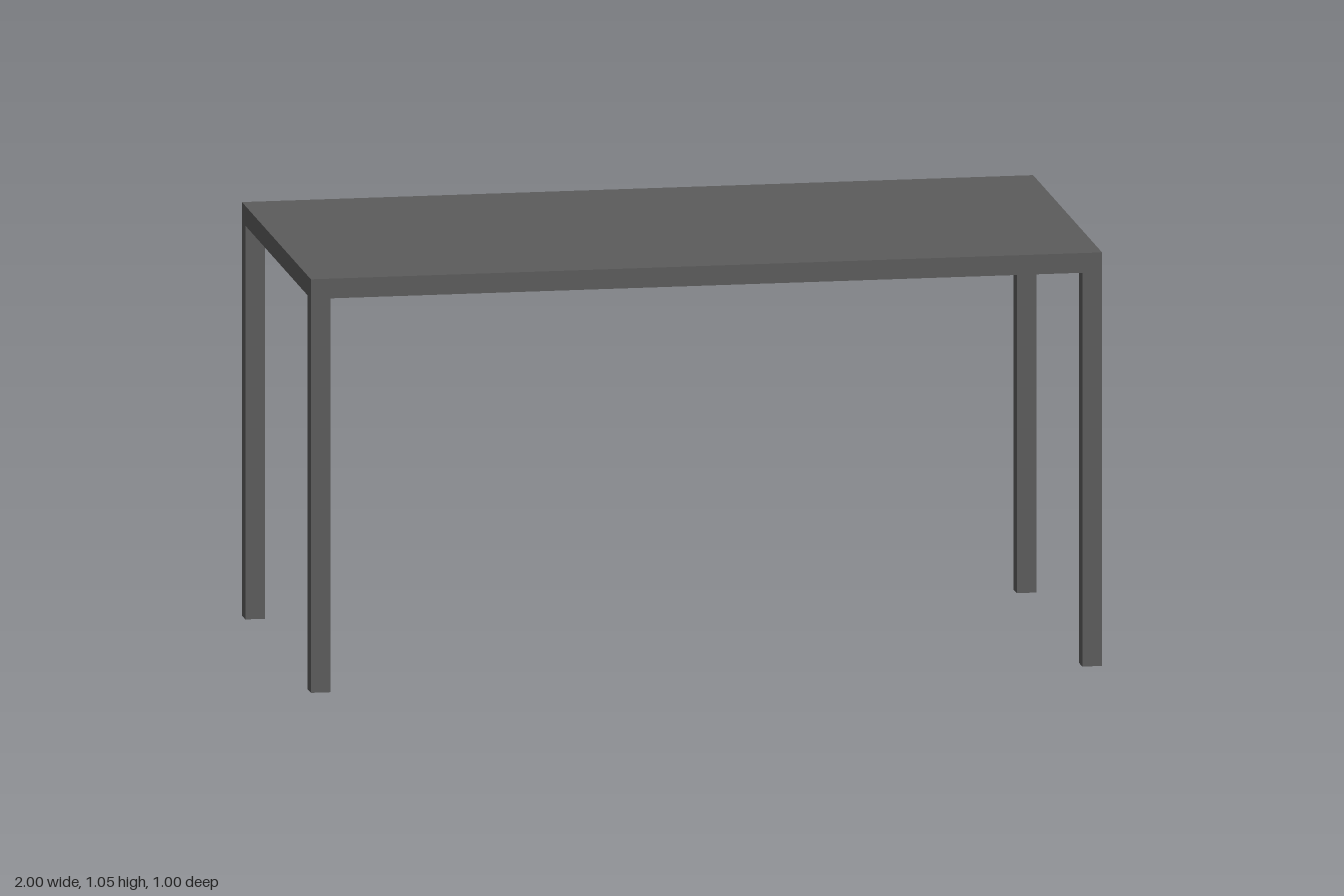
import * as THREE from 'three';

const LENGTH = 2, DEPTH = 1, LEG_HEIGHT = 1, THICKNESS = 0.05;

export function createModel() {
  const table = new THREE.Group();
  table.name = 'table';
  const charcoal = new THREE.MeshStandardMaterial({ color: 0x5c5c5c });

  // Thin rectangular slab resting on the legs
  const top = new THREE.Mesh(new THREE.BoxGeometry(LENGTH, THICKNESS, DEPTH), charcoal);
  top.name = 'tableTop';
  top.position.y = LEG_HEIGHT + THICKNESS / 2;
  table.add(top);

  // Four square legs, flush with the corners of the top
  const legGeometry = new THREE.BoxGeometry(THICKNESS, LEG_HEIGHT, THICKNESS);
  for (const [side, sx] of [['Left', 1], ['Right', -1]]) {
    for (const [end, sz] of [['front', 1], ['back', -1]]) {
      const leg = new THREE.Mesh(legGeometry, charcoal);
      leg.name = `${end}${side}Leg`;
      leg.position.set(
        sx * (LENGTH - THICKNESS) / 2,
        LEG_HEIGHT / 2,
        sz * (DEPTH - THICKNESS) / 2
      );
      table.add(leg);
    }
  }
  return table;
}
